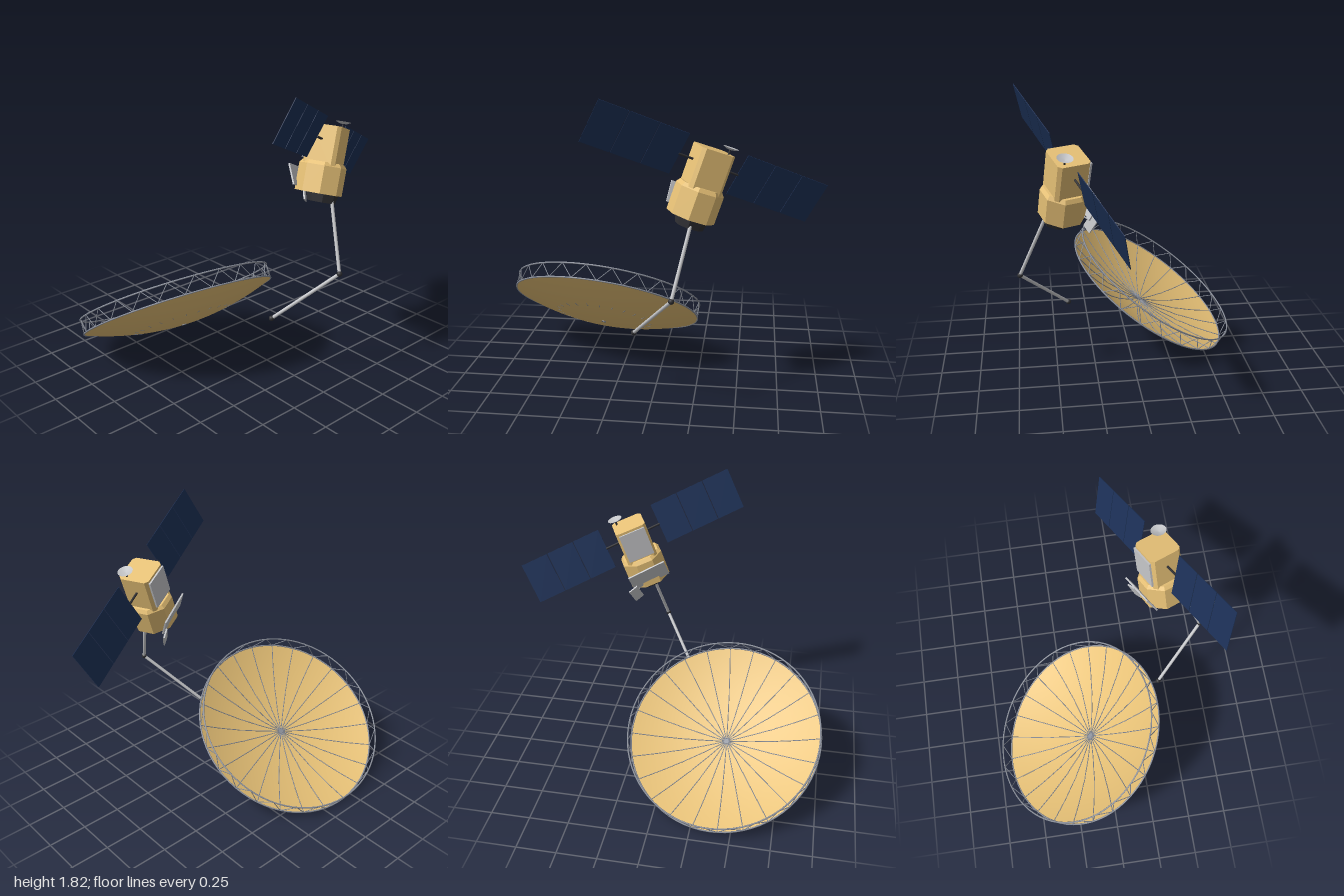
import * as THREE from 'three';

const mat = (name, color, side = THREE.FrontSide) => {
  const m = new THREE.MeshStandardMaterial({ color, side });
  m.name = name;
  return m;
};
const V = (x, y, z) => new THREE.Vector3(x, y, z);
const points2 = (list) => list.map(([x, y]) => new THREE.Vector2(x, y));

export function createModel() {
  const gold = mat('gold', 0xe8c277, THREE.DoubleSide);
  const navy = mat('solar navy', 0x1c3056);
  const silver = mat('silver', 0xc4c5c8, THREE.DoubleSide);
  const truss = mat('truss grey', 0x8c919c);
  const dark = mat('dark metal', 0x303033);

  const model = new THREE.Group();
  model.name = 'satellite';

  const add = (parent, name, geo, material, x = 0, y = 0, z = 0) => {
    const m = new THREE.Mesh(geo, material);
    m.name = name;
    m.position.set(x, y, z);
    parent.add(m);
    return m;
  };
  // Group whose local y and z follow the given directions
  const frame = (name, origin, yDir, zDir) => {
    const y = yDir.clone().normalize();
    const z = zDir.clone().addScaledVector(y, -zDir.dot(y)).normalize();
    const g = new THREE.Group();
    g.name = name;
    g.quaternion.setFromRotationMatrix(new THREE.Matrix4().makeBasis(y.clone().cross(z), y, z));
    g.position.copy(origin);
    model.add(g);
    return g;
  };
  // Straight bar between two points
  const bar = (parent, name, a, b, r, material, sides = 6) => {
    const d = b.clone().sub(a);
    const m = add(parent, name, new THREE.CylinderGeometry(r, r, d.length(), sides), material);
    m.position.copy(a).addScaledVector(d, 0.5);
    m.quaternion.setFromUnitVectors(V(0, 1, 0), d.normalize());
  };

  // ---- Large reflector, local origin at the rim centre ----
  const R = 0.614, DEPTH = 0.117, RISE = 0.092, BAYS = 24;
  const dish = frame('reflector', V(-0.163, 0.361, 0.386), V(-0.565, 0.82, -0.1), V(0, 0.1, 1));
  const depthAt = (t) => -DEPTH * (1 - t * t);
  const profile = [];
  for (let i = 0; i <= 16; i++) profile.push(new THREE.Vector2(R * i / 16, depthAt(i / 16)));
  add(dish, 'reflectorBowl', new THREE.LatheGeometry(profile, 72), gold);

  const polar = (k, r, y) => {
    const a = k / BAYS * Math.PI * 2;
    return V(Math.cos(a) * r, y, Math.sin(a) * r);
  };
  for (const [name, y] of [['rimRing', 0], ['upperRing', RISE]]) {
    add(dish, name, new THREE.TorusGeometry(R, 0.005, 6, 72), truss, 0, y, 0).rotation.x = Math.PI / 2;
  }
  for (let k = 0; k < BAYS; k++) {
    // rib follows the bowl and pierces it briefly at mid radius
    const pts = [0.02, 0.25, 0.46, 0.5, 0.54, 0.75, 1].map(
      (t) => polar(k, R * t, depthAt(t) + (t === 0.5 ? 0 : 0.0036)));
    add(dish, 'rib', new THREE.TubeGeometry(new THREE.CatmullRomCurve3(pts), 48, 0.003, 5), truss);
    // zigzag edge truss
    bar(dish, 'trussBar', polar(k, R, 0), polar(k + 0.5, R, RISE), 0.0027, truss, 5);
    bar(dish, 'trussBar', polar(k + 0.5, R, RISE), polar(k + 1, R, 0), 0.0027, truss, 5);
  }
  add(dish, 'reflectorHub', new THREE.CylinderGeometry(0.015, 0.015, 0.012, 16), truss, 0, -DEPTH + 0.002, 0);

  // ---- Spacecraft body, local origin at the top face centre ----
  const body = frame('body', V(0.405, 1.525, -0.345), V(-0.1, 0.94, -0.315), V(0.36, 0.36, 0.86));

  // chamfered upper box
  const h = 0.1, c = 0.02;
  const outline = new THREE.Shape(points2([
    [h - c, -h], [h, c - h], [h, h - c], [h - c, h], [c - h, h], [-h, h - c], [-h, c - h], [c - h, -h],
  ]));
  const boxGeo = new THREE.ExtrudeGeometry(outline, { depth: 0.25, bevelEnabled: false });
  boxGeo.rotateX(Math.PI / 2);
  add(body, 'upperBox', boxGeo, gold);

  // octagonal lower section with sloped shoulder
  const octagon = (name, rTop, rBottom, len, y, material, x = 0) => {
    const geo = new THREE.CylinderGeometry(rTop, rBottom, len, 8).toNonIndexed();
    geo.computeVertexNormals();
    add(body, name, geo, material, x, y - len / 2, 0).rotation.y = Math.PI / 8;
  };
  octagon('shoulder', 0.125, 0.142, 0.022, -0.215, gold);
  octagon('lowerSection', 0.142, 0.142, 0.165, -0.237, gold);
  octagon('baseRing', 0.097, 0.083, 0.05, -0.402, dark, 0.028);

  // radiator on the side of the box
  add(body, 'radiator', new THREE.BoxGeometry(0.012, 0.19, 0.17), silver, -h - 0.005, -0.11, 0);

  // small antenna on a mast
  add(body, 'antennaMast', new THREE.CylinderGeometry(0.006, 0.006, 0.05, 8), dark, 0.055, 0, -0.068);
  const bowl = points2([[0, 0], [0.025, 0.004], [0.047, 0.014]]);
  add(body, 'smallAntenna', new THREE.LatheGeometry(bowl, 24), silver, 0.055, 0.027, -0.068);

  // ---- Solar wings: three thin sections on a boom, both sides ----
  const wings = frame('solarWings', V(0.411, 1.44, -0.316), V(0.165, 0.87, -0.45), V(0.365, 0.373, 0.855));
  for (const s of [1, -1]) {
    bar(wings, 'boom', V(0, 0, s * 0.08), V(0, 0, s * 0.19), 0.007, dark, 8);
    for (let i = 0; i < 3; i++) {
      add(wings, 'solarPanel', new THREE.BoxGeometry(0.004, 0.264, 0.177), navy, 0, 0, s * (0.274 + i * 0.182));
    }
  }

  // ---- Side feed plates ----
  const feed = frame('feedPlate', V(0.303, 1.222, -0.192), V(0.79, 0.36, -0.5), V(0.36, 0.39, 0.855));
  add(feed, 'feedPlateSlab', new THREE.BoxGeometry(0.13, 0.01, 0.25), silver);
  const small = frame('smallPlate', V(0.282, 1.095, -0.272), V(0.77, 0.18, -0.62), V(0.46, -0.83, 0.33));
  add(small, 'smallPlateSlab', new THREE.BoxGeometry(0.066, 0.01, 0.1), silver);
  bar(model, 'plateStrut', V(0.285, 1.11, -0.265), V(0.38, 1.17, -0.235), 0.005, silver);

  // ---- Folding arm ----
  const shoulder = V(0.535, 1.15, -0.235), elbow = V(0.71, 0.73, -0.14), tip = V(0.41, 0.41, 0.117);
  bar(model, 'upperArm', shoulder, elbow, 0.0105, silver, 12);
  bar(model, 'lowerArm', elbow, tip, 0.0105, silver, 12);
  for (const p of [shoulder, elbow, tip]) {
    add(model, 'armJoint', new THREE.SphereGeometry(0.017, 16, 12), dark, p.x, p.y, p.z);
  }
  return model;
}
